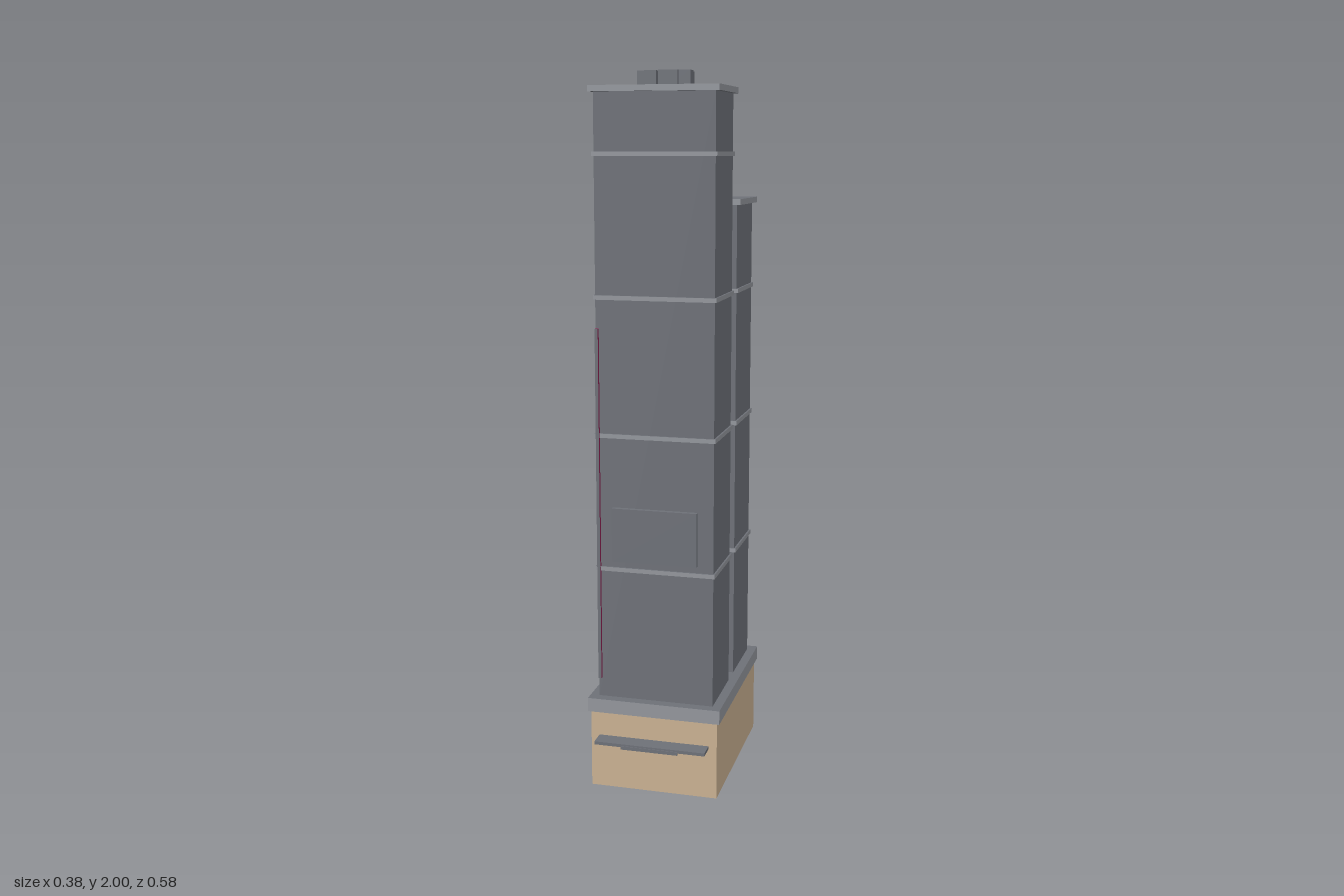
import * as THREE from 'three';

const mat = (name, color, side = THREE.FrontSide) => {
  const m = new THREE.MeshStandardMaterial({ color, side });
  m.name = name;
  return m;
};

export function createModel() {
  const model = new THREE.Group();
  model.name = 'twinTowerBuilding';

  const facade = mat('slate grey', 0x6d7077);
  const trim = mat('light grey trim', 0x92959b);
  const sandstone = mat('sandstone', 0xc8b091, THREE.DoubleSide);
  const neon = mat('dark magenta', 0x8a1f4f);
  // light edges with slate top and underside
  const trimmed = [trim, trim, facade, facade, trim, trim];

  // box given by its min and max on each axis
  const box = (name, [x0, x1], [y0, y1], [z0, z1], material, parent = model) => {
    const mesh = new THREE.Mesh(new THREE.BoxGeometry(x1 - x0, y1 - y0, z1 - z0), material);
    mesh.position.set((x0 + x1) / 2, (y0 + y1) / 2, (z0 + z1) / 2);
    mesh.name = name;
    parent.add(mesh);
    return mesh;
  };

  // podium: four walls, open below, under a wide slab
  const walls = box('podiumWalls', [-0.184, 0.184], [0, 0.225], [-0.283, 0.236], sandstone);
  const index = Array.from(walls.geometry.index.array);
  index.splice(12, 12); // drop top and bottom faces
  walls.geometry.setIndex(index);
  walls.geometry.clearGroups();
  box('podiumSlab', [-0.192, 0.192], [0.225, 0.265], [-0.29, 0.242], trimmed);

  // entrance canopy with a narrow fascia
  box('canopy', [-0.16, 0.16], [0.146, 0.155], [0.236, 0.285], facade);
  box('canopyFascia', [-0.082, 0.082], [0.14, 0.15], [0.281, 0.287], facade);

  // towers with floor bands and roof caps
  const tower = (name, z, top, bands) => {
    const g = new THREE.Group();
    g.name = name;
    model.add(g);
    const slab = (part, grow, y0, y1, m) =>
      box(part, [-0.166 - grow, 0.166 + grow], [y0, y1], [z - 0.103 - grow, z + 0.103 + grow], m, g);
    slab('shaft', 0, 0.265, top, facade);
    for (let i = 1; i <= bands; i++) {
      const y = 0.265 + i * 0.38;
      slab('floorBand', 0.005, y - 0.006, y + 0.006, trimmed);
    }
    slab('roofCap', 0.012, top, top + 0.016, trimmed);
  };
  tower('frontTower', 0.11, 1.945, 4);
  tower('backTower', -0.158, 1.645, 3);

  // facade panel and vertical light strip
  box('facadePanel', [-0.121, 0.121], [0.67, 0.823], [0.212, 0.227], facade);
  box('lightStrip', [-0.166, -0.157], [0.32, 1.32], [0.212, 0.222],
    [neon, neon, neon, neon, facade, neon]);

  // rooftop units
  for (const [x, z] of [[-0.035, 0.14], [0.026, 0.153], [0.058, 0.141], [0.044, 0.075]]) {
    box('rooftopUnit', [x - 0.026, x + 0.026], [1.961, 2], [z - 0.018, z + 0.018], facade);
  }

  // water tank on four legs
  const tank = new THREE.Group();
  tank.name = 'waterTank';
  tank.position.set(0.061, 0, -0.135);
  model.add(tank);
  const drum = new THREE.Mesh(new THREE.CylinderGeometry(0.048, 0.048, 0.093, 12), facade);
  drum.name = 'tankDrum';
  drum.position.y = 1.779;
  tank.add(drum);
  for (const x of [-0.031, 0.031]) {
    for (const z of [-0.031, 0.031]) {
      box('tankLeg', [x - 0.0035, x + 0.0035], [1.661, 1.735], [z - 0.0035, z + 0.0035], facade, tank);
    }
  }

  return model;
}
